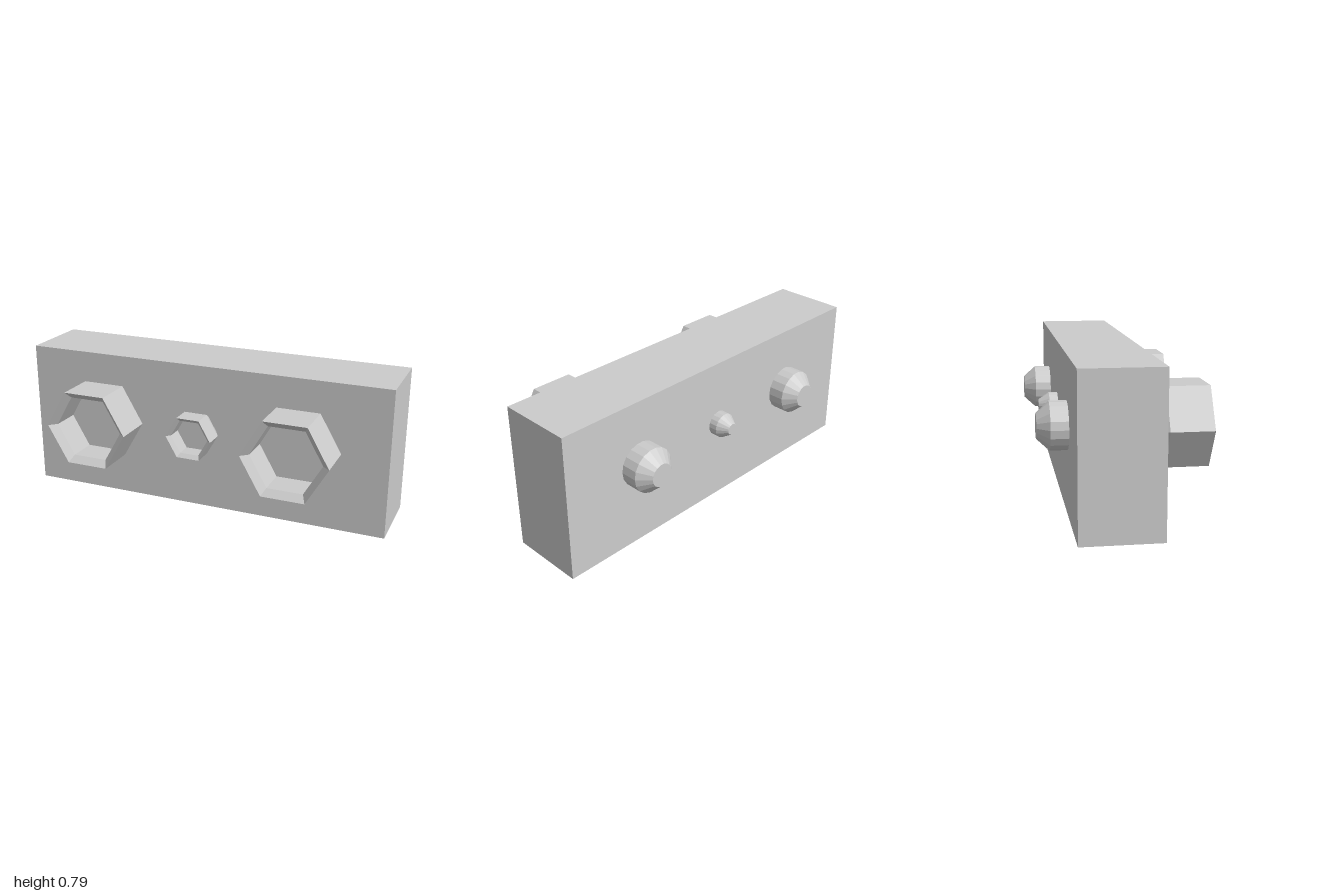
import * as THREE from 'three';

const material = new THREE.MeshStandardMaterial({ color: 0xcccccc, flatShading: true });

// Faceted solid of revolution about the z axis; profile is [radius, z], back to front
function turned(name, profile, sides) {
  const points = profile.map(([r, z]) => new THREE.Vector2(r, z));
  const geometry = new THREE.LatheGeometry(points, sides, Math.PI / 2).rotateX(Math.PI / 2);
  const mesh = new THREE.Mesh(geometry, material);
  mesh.name = name;
  return mesh;
}

// Hexagonal socket on the front, round chamfered stud through to the back
function createBolt(name, x, y, s) {
  const bolt = new THREE.Group();
  bolt.name = name;
  bolt.position.set(x, y, 0);
  bolt.add(
    turned('hexSocket', [
      [0, s.neck], [s.neckR, s.neck], [s.hexR, s.shoulder], [s.hexR, s.front],
      [s.holeR, s.front - s.bevel], [s.holeR, s.floor], [0, s.floor],
    ], 6),
    turned('stud', [
      [0, s.tip], [s.tipR, s.tip], [s.studR, s.studShoulder], [s.studR, s.neck + 0.01], [0, s.neck + 0.01],
    ], 18),
  );
  return bolt;
}

const large = {
  neck: 0.137, neckR: 0.171, shoulder: 0.195, hexR: 0.226, front: 0.408,
  holeR: 0.187, bevel: 0.035, floor: 0.22,
  tip: -0.408, tipR: 0.061, studShoulder: -0.346, studR: 0.119,
};
const small = {
  neck: 0.14, neckR: 0.093, shoulder: 0.195, hexR: 0.124, front: 0.3,
  holeR: 0.102, bevel: 0.02, floor: 0.2,
  tip: -0.36, tipR: 0.03, studShoulder: -0.305, studR: 0.066,
};

export function createModel() {
  const model = new THREE.Group();
  model.name = 'boltedBlock';

  // Main block
  const block = new THREE.Mesh(new THREE.BoxGeometry(2, 0.785, 0.394), material);
  block.name = 'block';
  block.position.set(0, 0.3925, -0.063);
  model.add(block);

  // Two large bolts and a small one between them
  model.add(
    createBolt('rightBolt', -0.542, 0.444, large),
    createBolt('leftBolt', 0.545, 0.444, large),
    createBolt('middleBolt', -0.005, 0.44, small),
  );
  return model;
}
